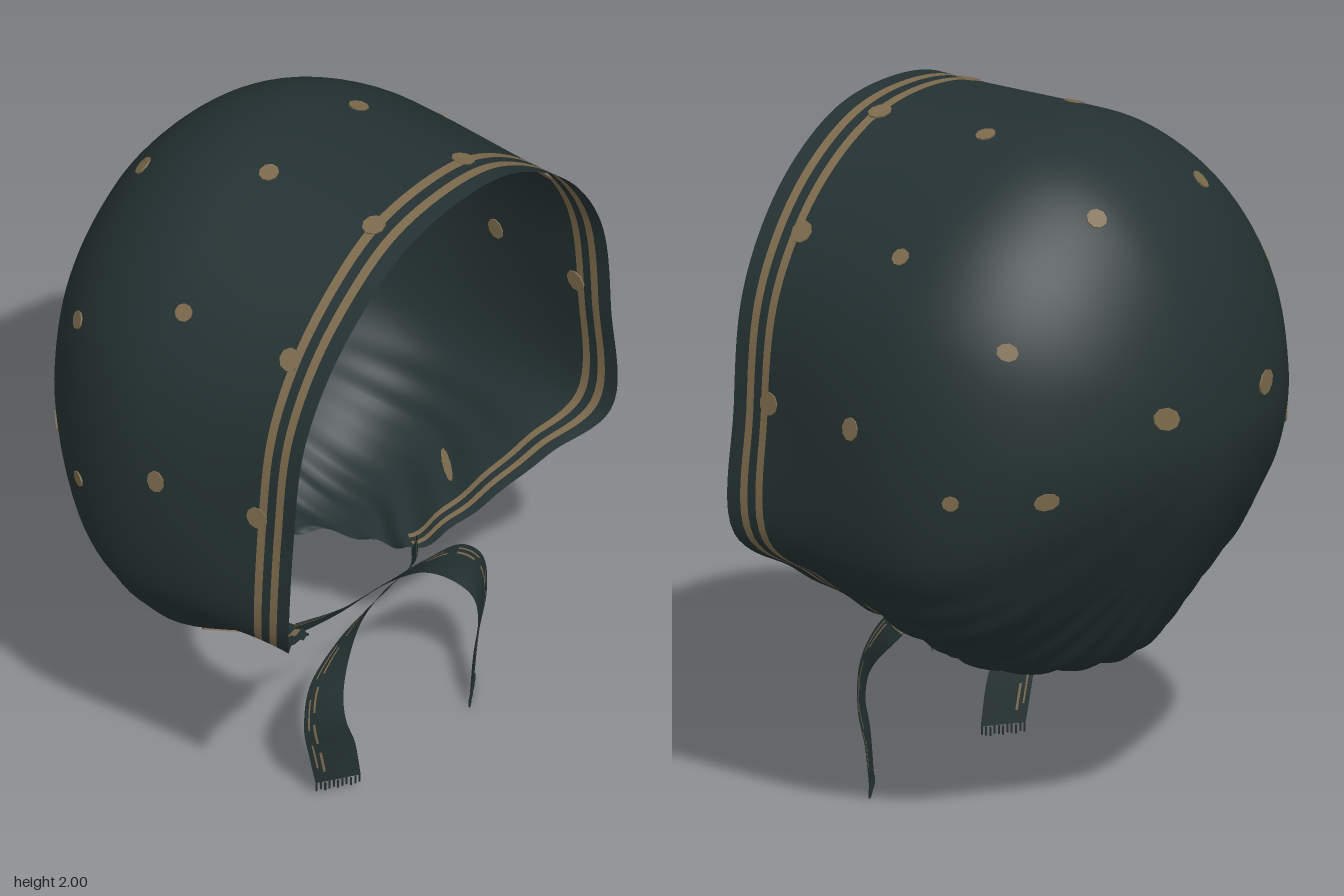
import * as THREE from 'three';
import { mergeVertices } from 'three/addons/utils/BufferGeometryUtils.js';

const V = (x, y, z) => new THREE.Vector3(x, y, z);
const fabric = new THREE.MeshStandardMaterial({ color: 0x243132, side: THREE.DoubleSide });
fabric.name = 'dark green fabric';
const trim = new THREE.MeshStandardMaterial({ color: 0x7c6a4c, side: THREE.DoubleSide });
trim.name = 'tan trim';

// Grid surface; cells chosen by isTrim go to the second material
function gridGeometry(cols, rows, pointAt, isTrim) {
  const pos = [], plain = [], striped = [];
  for (let i = 0; i <= cols; i++)
    for (let j = 0; j <= rows; j++) pos.push(...pointAt(i, j).toArray());
  for (let i = 0; i < cols; i++)
    for (let j = 0; j < rows; j++) {
      const a = i * (rows + 1) + j, b = a + rows + 1;
      (isTrim(i, j) ? striped : plain).push(a, a + 1, b, b, a + 1, b + 1);
    }
  let geo = new THREE.BufferGeometry();
  geo.setAttribute('position', new THREE.Float32BufferAttribute(pos, 3));
  geo.setIndex([...plain, ...striped]);
  geo = mergeVertices(geo, 1e-5);
  geo.clearGroups();
  geo.addGroup(0, plain.length, 0);
  geo.addGroup(plain.length, striped.length, 1);
  geo.computeVertexNormals();
  return geo;
}

// Widest line of the cap and its open edge, from the nape up the left side to the crown
const widest = [
  [0, .43, -.15], [.15, .43, -.1], [.28, .44, 0], [.4, .5, .02], [.57, .6, .03], [.66, .7, .05], [.74, .84, .06],
  [.76, 1.2, .07], [.70, 1.5, .06], [.58, 1.7, .04], [.42, 1.85, .02], [.22, 1.96, 0], [0, 1.995, 0]];
const edge = [
  [0, .43, -.13], [.17, .43, -.05], [.24, .43, .12], [.25, .47, .26], [.38, .57, .36], [.57, .71, .47], [.715, .83, .575],
  [.705, 1.2, .585], [.665, 1.5, .59], [.56, 1.7, .595], [.41, 1.85, .6], [.22, 1.955, .6], [0, 1.985, .6]];
const loop = (half) => new THREE.CatmullRomCurve3([
  ...half.map((p) => V(...p)),
  ...half.slice(1, -1).reverse().map(([x, y, z]) => V(-x, y, z))], true);
const widestLoop = loop(widest), edgeLoop = loop(edge);
const pole = V(0, 1.2, -.61);

// Cap surface: a runs around the opening, v runs 0..1 over the back and 1..2 to the edge
function capPoint(a, v) {
  const s = widestLoop.getPoint(a), e = edgeLoop.getPoint(a), p = V(0, 0, 0);
  if (v <= 1) {
    const th = v * Math.PI / 2, k = Math.sin(th);
    const low = THREE.MathUtils.smoothstep(1.2 - s.y, 0, .7);
    p.set(s.x * k, pole.y + (s.y - pole.y) * k,
      s.z + (pole.z - s.z) * Math.cos(th) + .07 * low * Math.sin(2 * th) ** 2);
  } else {
    const dz = e.z - s.z;
    const m1 = V(s.x, s.y, s.z + dz * .4);
    const m2 = V(e.x * .985, pole.y + (e.y - pole.y) * .995, s.z + dz * .7);
    new THREE.CubicBezierCurve3(s, m1, m2, e).getPoint(v - 1, p);
  }
  // gathers near the neck
  const gather = THREE.MathUtils.clamp((.8 - p.y) / .4, 0, 1);
  const k = 1 + .014 * gather * Math.cos(a * Math.PI * 60);
  p.x *= k;
  p.y = pole.y + (p.y - pole.y) * k;
  return p;
}

function makeCap() {
  const cols = 216, back = 28;
  const vs = Array.from({ length: back + 1 }, (_, i) => i / back)
    .concat([1.1, 1.2, 1.3, 1.4, 1.5, 1.6, 1.67, 1.735, 1.79, 1.85, 1.905, 2]);
  const rows = vs.length - 1;
  const geo = gridGeometry(cols, rows,
    (i, j) => capPoint((i % cols) / cols, vs[j]),
    (i, j) => (j === rows - 2 || j === rows - 4) && i >= cols / 8 && i < cols * 7 / 8);
  const cap = new THREE.Mesh(geo, [fabric, trim]);
  cap.name = 'cap';
  return cap;
}

// Printed dots: nearest point on the cap, length along the meridian, width
const dots = [
  [.22, 1.8, -.33, .03, .03], [.21, 1.97, .09, .029, .029], [.59, 1.7, .09, .028, .026],
  [.2, 1.96, .46, .034, .034], [.57, 1.7, .46, .034, .034], [.71, 1.24, .46, .034, .034],
  [.58, 1.5, -.29, .032, .026], [.75, 1.22, .13, .028, .034], [.225, 1.27, -.57, .046, .033],
  [.52, 1.06, -.39, .038, .026], [.7, 1.05, -.18, .025, .022], [.5, .55, .18, .07, .012]];
function makeDots() {
  const group = new THREE.Group();
  group.name = 'dots';
  const plate = new THREE.CylinderGeometry(1, 1, .008, 9);
  for (const [x, y, z, length, width] of dots) {
    const target = V(x, y, z);
    let best = Infinity, ba = 0, bv = 0;
    for (let i = 1; i < 120; i++)
      for (let j = 1; j < 80; j++) {
        const d = capPoint(i / 240, j / 40).distanceToSquared(target);
        if (d < best) { best = d; ba = i / 240; bv = j / 40; }
      }
    for (const a of [ba, 1 - ba]) {
      const p = capPoint(a, bv), h = .004;
      const along = capPoint(a, bv + h).sub(capPoint(a, bv - h)).normalize();
      const across = capPoint(a + h, bv).sub(capPoint(a - h, bv));
      const normal = across.cross(along).normalize();
      const side = along.clone().cross(normal);
      const dot = new THREE.Mesh(plate, trim);
      dot.name = 'dot';
      dot.quaternion.setFromRotationMatrix(new THREE.Matrix4().makeBasis(along, normal, side));
      dot.position.copy(p);
      dot.scale.set(length, 1, width);
      group.add(dot);
    }
  }
  return group;
}

// Ribbon tie: crosses under the chin and hangs on the other side
const tiePath = [[-.27, .47, .23], [-.15, .5, .3], [0, .522, .335], [.15, .515, .36], [.26, .475, .38],
  [.335, .39, .405], [.35, .28, .41], [.32, .17, .412], [.297, .03, .415]];
const tieHalf = [[0, .03, .01], [0, .018, .012], [0, .016, .014], [.01, .025, .01], [.03, .042, 0],
  [.05, .03, -.02], [.056, .004, -.03], [.058, -.006, -.036], [.056, 0, -.036]];
function makeTie(side, lift, end, name) {
  const place = ([x, y, z], i) => V(side * x, i === 8 ? end : y, z + (i > 0 && i < 5 ? lift : 0));
  const path = new THREE.CatmullRomCurve3(tiePath.map(place));
  const half = new THREE.CatmullRomCurve3(tieHalf.map(([x, y, z]) => V(side * x, y, z)));
  const cuts = [-1, -.5, 0, .45, .56, .72, .8, 1], n = 48;
  const geo = gridGeometry(n, cuts.length - 1,
    (i, j) => path.getPoint(i / n).addScaledVector(half.getPoint(i / n), cuts[j]),
    (i, j) => (j === 3 && i % 6 < 4) || (j === 5 && i % 8 < 5));
  const tie = new THREE.Group();
  tie.name = name;
  const ribbon = new THREE.Mesh(geo, [fabric, trim]);
  ribbon.name = 'ribbon';
  tie.add(ribbon);
  // frayed end
  const thread = new THREE.BoxGeometry(.004, .026, .004);
  for (let i = 0; i < 11; i++) {
    const fringe = new THREE.Mesh(thread, fabric);
    fringe.name = 'fringe';
    fringe.position.copy(path.getPoint(1)).addScaledVector(half.getPoint(1), -.95 + i * .19);
    fringe.position.y -= .011 + (i % 3) * .003;
    tie.add(fringe);
  }
  return tie;
}

export function createModel() {
  const bonnet = new THREE.Group();
  bonnet.name = 'bonnet';
  bonnet.add(makeCap(), makeDots(),
    makeTie(1, 0, .03, 'leftTie'), makeTie(-1, .02, .055, 'rightTie'));
  return bonnet;
}
